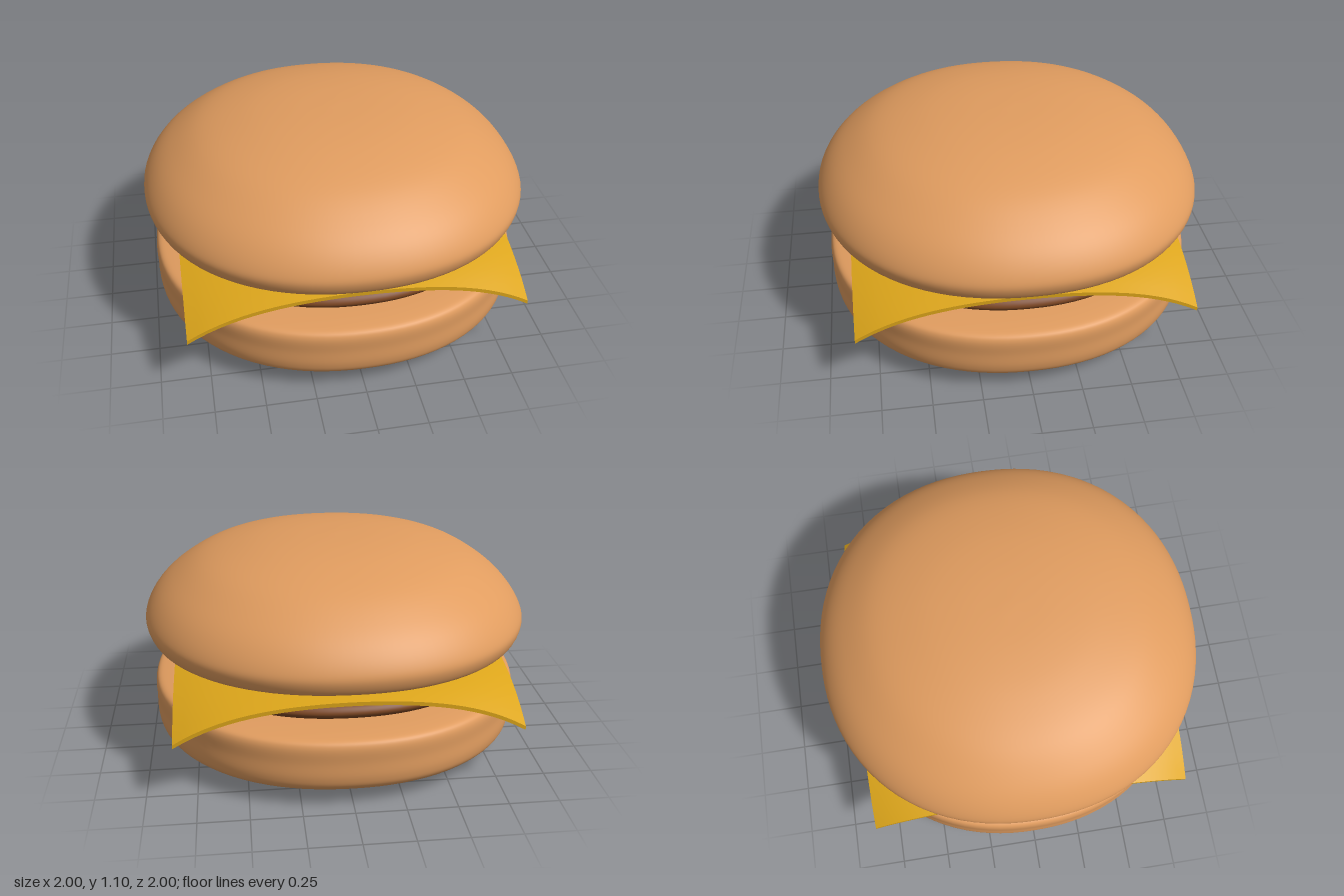
import * as THREE from 'three';
import { mergeVertices } from 'three/addons/utils/BufferGeometryUtils.js';

const bunMat = new THREE.MeshStandardMaterial({ color: 0xe09c5f });
const pattyMat = new THREE.MeshStandardMaterial({ color: 0x7d4723 });
const cheeseMat = new THREE.MeshStandardMaterial({ color: 0xdca51a });

// Smooth turned body, profile from bottom centre to top centre,
// with a slightly squared (superellipse) outline seen from above
function roundBody(name, profile, material) {
  const curve = new THREE.CatmullRomCurve3(
    profile.map(([r, y]) => new THREE.Vector3(r, y, 0)), false, 'centripetal');
  const points = curve.getPoints(64).map(p => new THREE.Vector2(Math.max(0, p.x), p.y));
  let geo = new THREE.LatheGeometry(points, 96);
  const pos = geo.attributes.position, n = 2.17;
  for (let i = 0; i < pos.count; i++) {
    const x = pos.getX(i), z = pos.getZ(i), r = Math.hypot(x, z);
    if (r < 1e-6) continue;
    const k = (Math.abs(x / r) ** n + Math.abs(z / r) ** n) ** (-1 / n);
    pos.setX(i, x * k);
    pos.setZ(i, z * k);
  }
  // weld the seam so shading stays smooth all round
  geo.deleteAttribute('uv');
  geo.deleteAttribute('normal');
  geo = mergeVertices(geo, 1e-5);
  geo.computeVertexNormals();
  const mesh = new THREE.Mesh(geo, material);
  mesh.name = name;
  return mesh;
}

// Thin square slice whose edges and corners droop
function cheeseSlice() {
  const geo = new THREE.BoxGeometry(1.7, 0.02, 1.7, 32, 1, 32);
  const pos = geo.attributes.position;
  for (let i = 0; i < pos.count; i++) {
    const r = Math.hypot(pos.getX(i), pos.getZ(i));
    const drop = 0.035 * (Math.max(0, r - 0.3) / 0.55) ** 3.65;
    pos.setY(i, pos.getY(i) + 0.54 - drop);
  }
  geo.computeVertexNormals();
  const mesh = new THREE.Mesh(geo, cheeseMat);
  mesh.name = 'cheeseSlice';
  return mesh;
}

export function createModel() {
  const group = new THREE.Group();
  group.name = 'burger';

  group.add(roundBody('bottomBun', [
    [0, 0], [0.35, 0.006], [0.62, 0.02], [0.8, 0.042], [0.9, 0.075], [0.955, 0.12],
    [0.97, 0.17], [0.97, 0.25], [0.97, 0.33], [0.955, 0.357], [0.9, 0.37], [0.7, 0.38], [0.4, 0.387], [0, 0.39],
  ], bunMat));

  group.add(roundBody('patty', [
    [0, 0.39], [0.4, 0.392], [0.68, 0.398], [0.79, 0.41], [0.845, 0.43], [0.865, 0.46],
    [0.845, 0.49], [0.79, 0.505], [0.68, 0.516], [0.4, 0.526], [0, 0.53],
  ], pattyMat));

  group.add(cheeseSlice());

  group.add(roundBody('topBun', [
    [0, 0.57], [0.35, 0.575], [0.65, 0.585], [0.88, 0.598], [0.965, 0.612], [0.985, 0.635],
    [1, 0.69], [0.985, 0.74], [0.93, 0.82], [0.84, 0.9], [0.69, 0.99], [0.47, 1.055], [0.25, 1.085], [0, 1.095],
  ], bunMat));

  return group;
}
